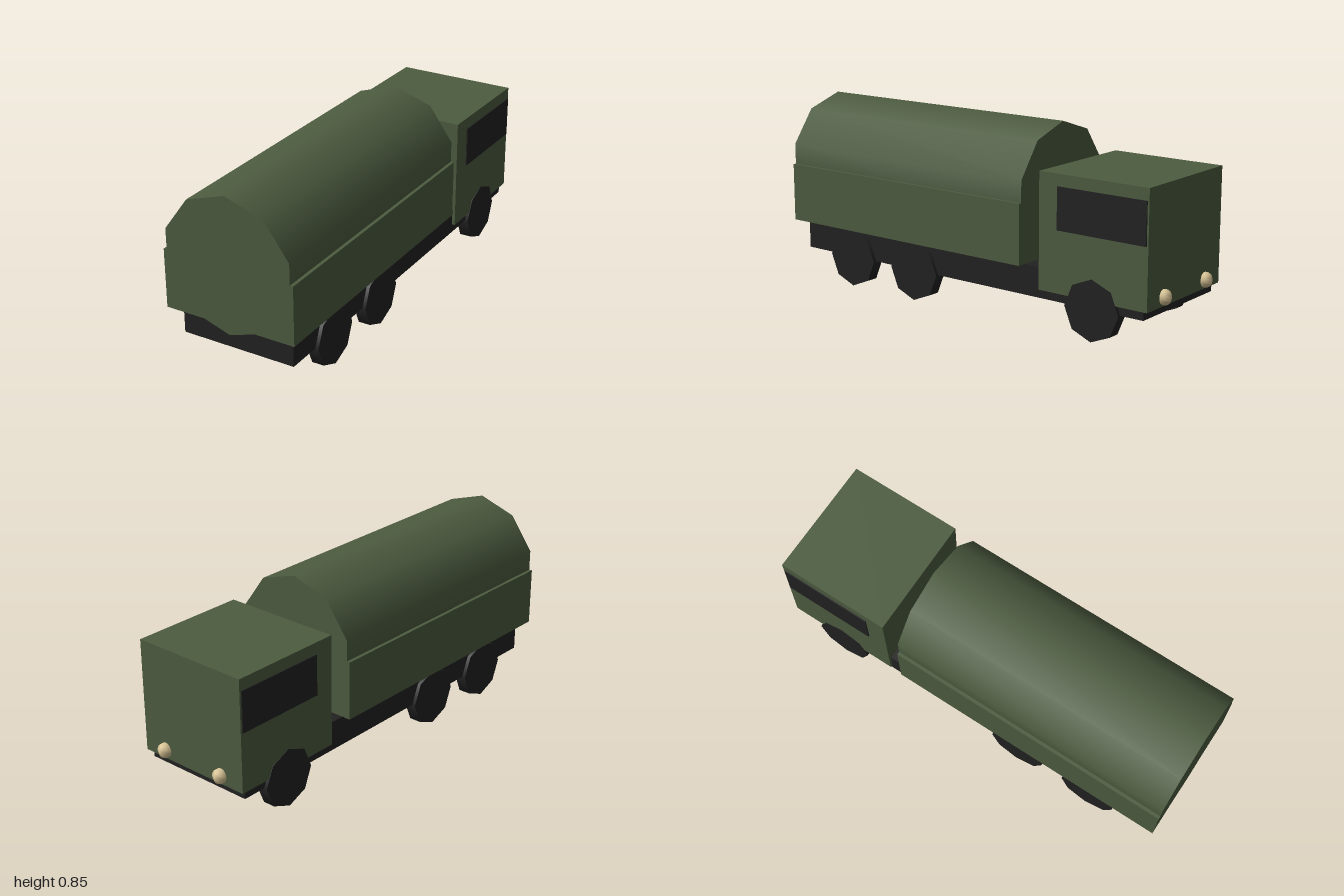
import * as THREE from 'three';

export function createModel() {
  const truck = new THREE.Group();
  truck.name = 'truck';

  const material = (name, color) => {
    const m = new THREE.MeshStandardMaterial({ color });
    m.name = name;
    return m;
  };
  const green = material('olive green', 0x4d5c40);
  const black = material('charcoal', 0x222222);
  const cream = material('lamp cream', 0xd8c496);

  const add = (name, geometry, mat, x, y, z) => {
    const mesh = new THREE.Mesh(geometry, mat);
    mesh.name = name;
    mesh.position.set(x, y, z);
    truck.add(mesh);
    return mesh;
  };
  // Box given by its half width and its y and z ranges
  const block = (name, mat, halfX, y0, y1, z0, z1) =>
    add(name, new THREE.BoxGeometry(halfX * 2, y1 - y0, z1 - z0), mat, 0, (y0 + y1) / 2, (z0 + z1) / 2);

  // Chassis, cargo bed and cab (the cab end points to -z)
  block('chassis', black, 0.267, 0.136, 0.27, -0.935, 0.945);
  block('cargoBed', green, 0.308, 0.27, 0.538, -0.34, 1);
  block('cab', green, 0.281, 0.176, 0.685, -0.96, -0.424);

  // Ten-sided canvas cover with a ridge along the top
  const cover = new THREE.CylinderGeometry(0.308, 0.308, 1.34, 10);
  cover.rotateX(Math.PI / 2);
  add('canvasCover', cover, green, 0, 0.538, 0.33);

  // Eight-sided wheels
  const wheel = new THREE.CylinderGeometry(0.134, 0.134, 0.056, 8);
  wheel.rotateZ(Math.PI / 2);
  const windowPlate = new THREE.BoxGeometry(0.008, 0.185, 0.434);
  const lamp = new THREE.SphereGeometry(0.034, 6, 8);
  lamp.rotateY(Math.PI / 2);

  for (const [side, s] of [['left', 1], ['right', -1]]) {
    for (const [axle, z] of [['front', -0.692], ['middle', 0.275], ['rear', 0.652]]) {
      add(`${side}${axle}Wheel`, wheel, black, s * 0.255, 0.134, z);
    }
    // Side window and headlight
    add(`${side}Window`, windowPlate, black, s * 0.282, 0.54, -0.735);
    add(`${side}Headlight`, lamp, cream, s * 0.161, 0.216, -0.966);
  }

  return truck;
}
